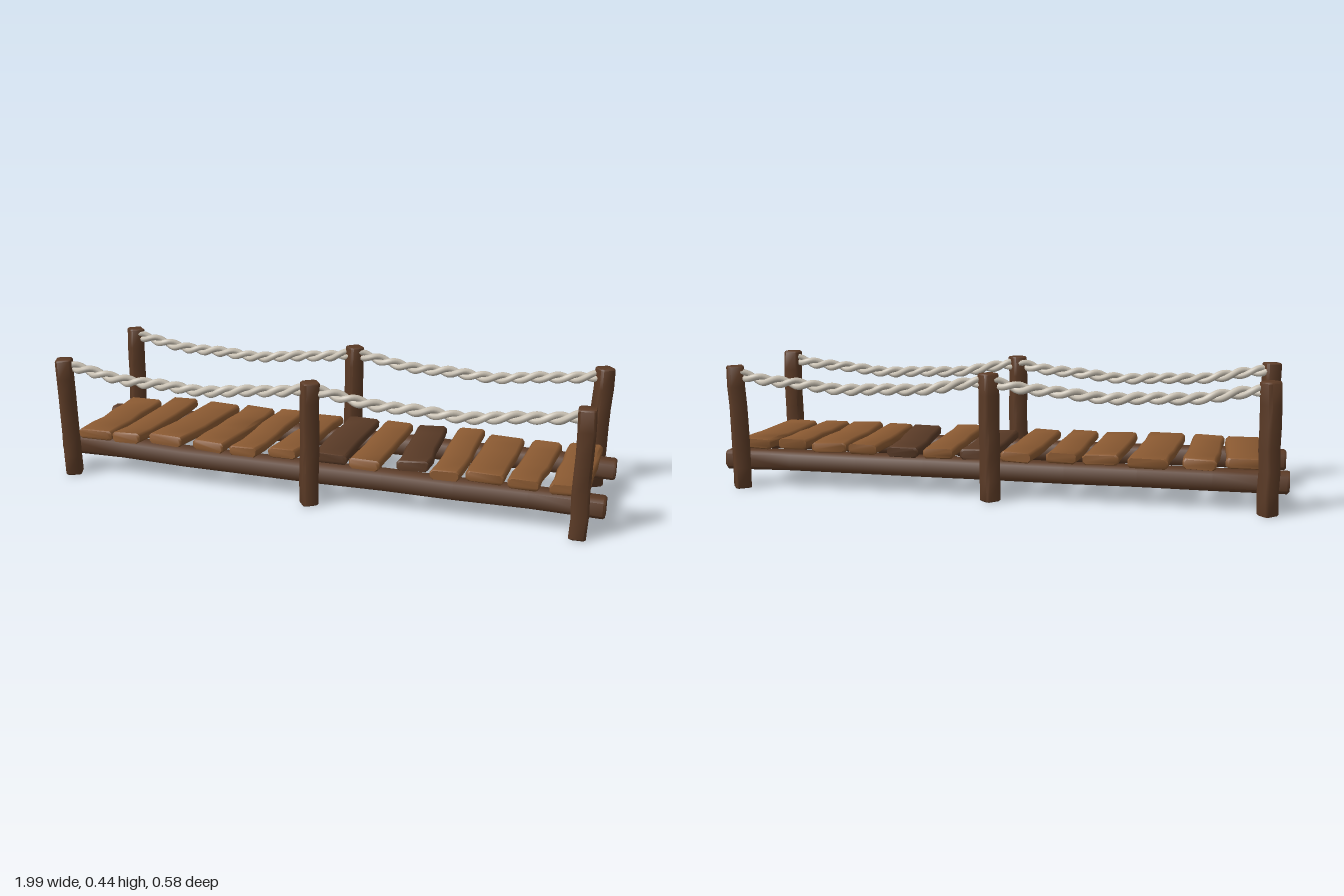
import * as THREE from 'three';
import { toCreasedNormals } from 'three/addons/utils/BufferGeometryUtils.js';

const material = (name, color) => {
  const m = new THREE.MeshStandardMaterial({ color });
  m.name = name;
  return m;
};

// Small seeded generator giving values from -1 to 1
function seeded(seed) {
  let s = seed * 7919 + 17;
  const next = () => {
    s = (s * 16807) % 2147483647;
    return (s / 2147483647) * 2 - 1;
  };
  for (let i = 0; i < 5; i++) next();
  return next;
}

// Hand-hewn timber along z: chamfered cross-sections with slight wobble and bowed ends
function timber(length, width, height, { chamfer = 0.01, wobble = 0.003, bow = 0, seed = 1, steps = 6 }) {
  const rnd = seeded(seed);
  const stations = [[0, 0.84], [chamfer * 0.6 / length, 1]];
  for (let i = 1; i < steps; i++) stations.push([i / steps, 1]);
  stations.push([1 - chamfer * 0.6 / length, 1], [1, 0.84]);
  const positions = [], index = [], n = 8;
  const a = width / 2, b = height / 2, c = chamfer;
  const section = [[a, -b + c], [a, b - c], [a - c, b], [-a + c, b], [-a, b - c], [-a, -b + c], [-a + c, -b], [a - c, -b]];
  stations.forEach(([t, scale]) => {
    const dx = rnd() * wobble, dy = rnd() * wobble + bow * (2 * t - 1) ** 2;
    const sx = (1 + rnd() * wobble * 8) * (1 - (1 - scale) * 0.6), sy = (1 + rnd() * wobble * 8) * scale;
    section.forEach(([x, y]) => positions.push(x * sx + dx, y * sy + dy, (t - 0.5) * length));
  });
  const last = (stations.length - 1) * n;
  for (let i = 0; i < last; i += n) {
    for (let j = 0; j < n; j++) {
      const k = (j + 1) % n;
      index.push(i + j, i + k, i + n + k, i + j, i + n + k, i + n + j);
    }
  }
  for (let j = 1; j < n - 1; j++) index.push(0, j + 1, j, last, last + j, last + j + 1);
  const g = new THREE.BufferGeometry();
  g.setAttribute('position', new THREE.Float32BufferAttribute(positions, 3));
  g.setIndex(index);
  return toCreasedNormals(g, 0.85);
}

// Hanging curve carrying one strand of a twisted rope
class Strand extends THREE.Curve {
  constructor(from, to, sag, phase) {
    super();
    Object.assign(this, { from, to, sag, phase });
  }
  getPoint(t, target = new THREE.Vector3()) {
    const angle = this.phase + t * Math.PI * 2 * 7;
    target.lerpVectors(this.from, this.to, t);
    target.y += -this.sag * 4 * t * (1 - t) + Math.sin(t * 19) * 0.003 + Math.sin(angle) * 0.0105;
    target.z += Math.cos(angle) * 0.0105 + Math.sin(t * 13) * 0.003;
    return target;
  }
}

export function createModel() {
  const model = new THREE.Group();
  model.name = 'ropeBridge';
  const plankWood = material('plankWood', 0x8b5a32);
  const darkPlankWood = material('darkPlankWood', 0x5a3b27);
  const frameWood = material('frameWood', 0x5c3b26);
  const ropeFibre = material('ropeFibre', 0xc9c1b3);

  const add = (name, geometry, mat, x = 0, y = 0, z = 0) => {
    const mesh = new THREE.Mesh(geometry, mat);
    mesh.name = name;
    mesh.position.set(x, y, z);
    model.add(mesh);
    return mesh;
  };

  // Long beams under the deck
  [['frontBeam', 0.176, 3], ['backBeam', -0.192, 4]].forEach(([name, z, seed]) => {
    const g = timber(1.99, 0.064, 0.07, { chamfer: 0.012, seed, steps: 8 });
    g.rotateY(Math.PI / 2);
    add(name, g, frameWood, 0, 0.099, z).rotation.z = -0.003;
  });

  // Deck planks: x, width, back z, front z, yaw, dark
  const planks = [
    [-0.85, 0.13, -0.20, 0.22, 0.02], [-0.71, 0.112, -0.25, 0.22, -0.03],
    [-0.55, 0.135, -0.25, 0.21, -0.08], [-0.385, 0.122, -0.24, 0.21, -0.055],
    [-0.25, 0.105, -0.24, 0.22, -0.03], [-0.10, 0.108, -0.24, 0.20, -0.07],
    [0.05, 0.122, -0.24, 0.18, 0, true], [0.19, 0.108, -0.24, 0.22, 0],
    [0.335, 0.11, -0.24, 0.18, 0.075, true], [0.47, 0.1, -0.24, 0.22, 0.01],
    [0.60, 0.128, -0.21, 0.21, 0], [0.74, 0.105, -0.19, 0.22, -0.045],
    [0.88, 0.12, -0.21, 0.22, -0.02],
  ];
  planks.forEach(([x, width, back, front, yaw, dark], i) => {
    const g = timber(front - back, width, 0.036, { chamfer: 0.009, bow: 0.004, seed: i + 20, steps: 5 });
    const p = add(`plank${i + 1}`, g, dark ? darkPlankWood : plankWood, x, 0.153, (back + front) / 2);
    p.rotation.set(0.012 * Math.sin(i * 2.3), yaw, 0.035 * Math.sin(i * 1.7));
  });

  // Upright posts: name, x, z, turn about the vertical, lean in x, lean in z
  const posts = [
    ['frontRightPost', -0.932, 0.243, 0.4, -0.006, 0.01],
    ['frontMiddlePost', 0.005, 0.246, 0.65, 0.008, 0],
    ['frontLeftPost', 0.92, 0.241, 0.06, 0.006, 0.01],
    ['backRightPost', -0.925, -0.263, 0.75, 0.004, -0.004],
    ['backMiddlePost', 0, -0.263, 0.8, 0.006, 0],
    ['backLeftPost', 0.92, -0.255, 0.6, 0.012, 0],
  ];
  posts.forEach(([name, x, z, turn, leanX, leanZ], i) => {
    const g = timber(0.44, 0.057, 0.057, { chamfer: 0.008, wobble: 0.002, seed: i + 50 });
    g.rotateX(-Math.PI / 2);
    g.rotateY(turn);
    add(name, g, frameWood, x, 0.224, z).rotation.set(leanZ * 2, 0, -leanX * 2);
  });

  // Two-strand ropes sagging between neighbouring posts
  [['front', 0.238, 0.238, 0.238], ['back', -0.262, -0.262, -0.256]].forEach(([side, ...zs]) => {
    [-0.925, 0].forEach((x, i) => {
      const from = new THREE.Vector3(x, 0.418, zs[i]);
      const to = new THREE.Vector3(x + 0.925, 0.418, zs[i + 1]);
      [0, Math.PI].forEach((phase, s) => {
        const g = new THREE.TubeGeometry(new Strand(from, to, 0.045, phase), 110, 0.0115, 8);
        add(`${side}Rope${i + 1}Strand${s + 1}`, g, ropeFibre);
      });
    });
  });
  return model;
}
